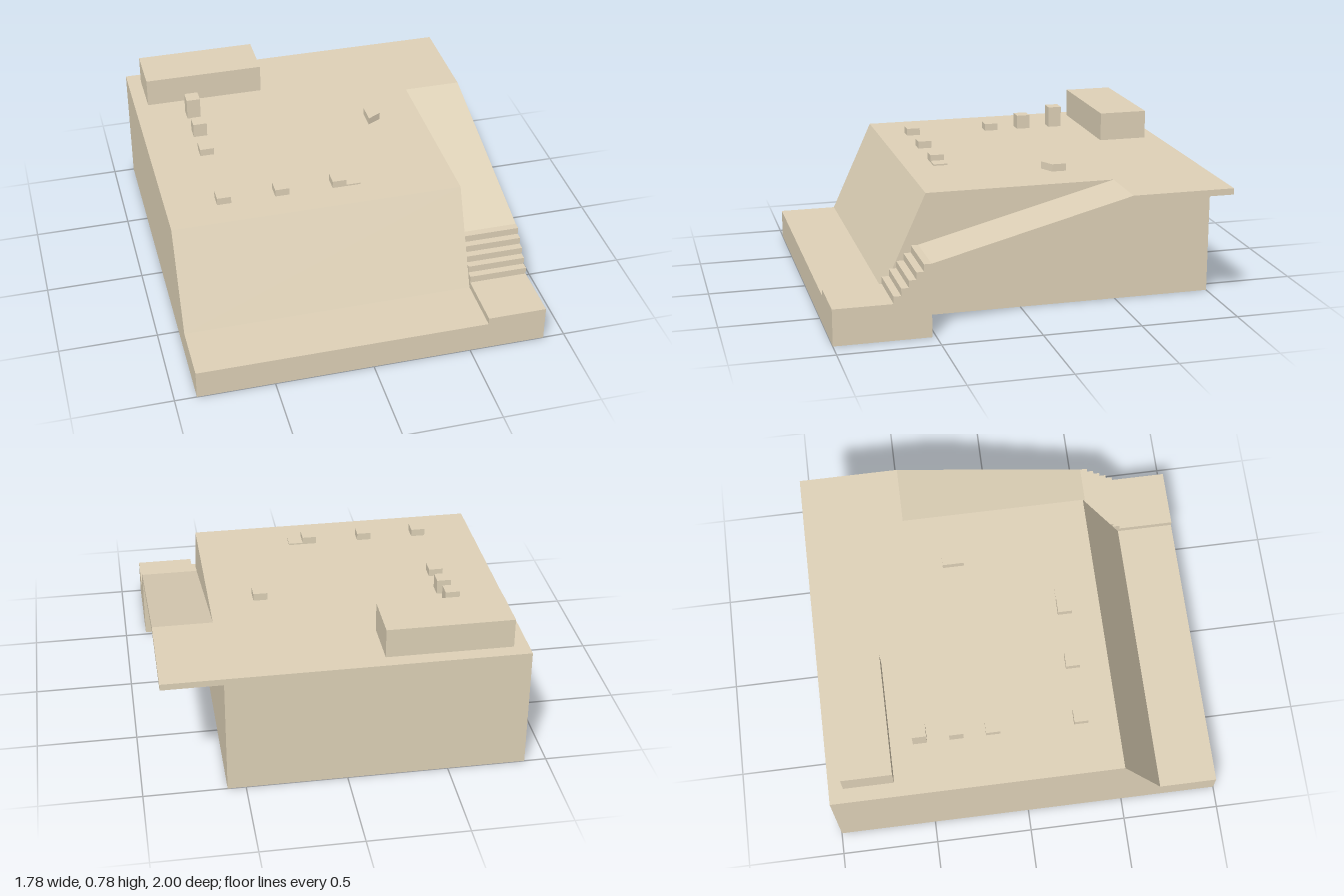
import * as THREE from 'three';

const material = new THREE.MeshStandardMaterial({ color: 0xdfd2b8, flatShading: true });

// Extrudes a side profile of [z, y] points from x0 to x1.
function sideProfile(name, points, x0, x1) {
  const shape = new THREE.Shape(points.map(([z, y]) => new THREE.Vector2(-z, y)));
  const geometry = new THREE.ExtrudeGeometry(shape, { depth: x1 - x0, bevelEnabled: false });
  geometry.rotateY(Math.PI / 2).translate(x0, 0, 0);
  const mesh = new THREE.Mesh(geometry, material);
  mesh.name = name;
  return mesh;
}

// Box given by its limits in x, y and z.
function block(name, x0, x1, y0, y1, z0, z1) {
  const geometry = new THREE.BoxGeometry(x1 - x0, y1 - y0, z1 - z0);
  const mesh = new THREE.Mesh(geometry, material);
  mesh.position.set((x0 + x1) / 2, (y0 + y1) / 2, (z0 + z1) / 2);
  mesh.name = name;
  return mesh;
}

export function createModel() {
  const model = new THREE.Group();
  model.name = 'terrace';
  const deck = 0.63;
  const left = -0.89, inner = 0.59, right = 0.89;

  // Main body with front ledge and sloping face
  model.add(sideProfile('mainBody', [
    [1, 0], [1, 0.15], [0.7, 0.15], [0.48, deck], [-1, deck], [-1, 0],
  ], left, inner));

  // Side walkway: landing, five steps, ramp and overhanging slab
  const walkway = [[0.52, 0], [1, 0], [1, 0.185]];
  for (let i = 0; i < 5; i++) {
    const z = 0.705 - i * 0.037;
    walkway.push([z, 0.185 + i * 0.037], [z, 0.185 + (i + 1) * 0.037]);
  }
  walkway.push([0.52, 0.37], [-0.48, deck], [-1, deck], [-1, 0.598], [-0.48, 0.598], [0.52, 0.337]);
  model.add(sideProfile('stairsAndRamp', walkway, inner, right));

  // Long block at the back
  model.add(block('backBlock', -0.817, -0.19, deck, 0.78, -0.927, -0.672));

  // Small blocks: centre x, centre z, top height
  const small = [
    [-0.597, -0.522, 0.742], [-0.597, -0.337, 0.705], [-0.597, -0.152, 0.668],
    [-0.597, 0.295, 0.668], [-0.3, 0.295, 0.668], [-0.003, 0.295, 0.668],
  ];
  for (const [x, z, top] of small) {
    model.add(block('smallBlock', x - 0.036, x + 0.036, deck, top, z - 0.036, z + 0.036));
  }

  // Thin plate beside the last block
  model.add(block('thinPlate', 0.033, 0.107, deck, 0.638, 0.259, 0.331));

  // Block with a slanted front
  const plan = [[0.296, 0.3], [0.296, 0.19], [0.367, 0.228], [0.367, 0.3]];
  const shape = new THREE.Shape(plan.map(([x, y]) => new THREE.Vector2(x, y)));
  const geometry = new THREE.ExtrudeGeometry(shape, { depth: 0.038, bevelEnabled: false });
  geometry.rotateX(-Math.PI / 2);
  const slanted = new THREE.Mesh(geometry, material);
  slanted.position.y = deck;
  slanted.name = 'slantedBlock';
  model.add(slanted);

  return model;
}
